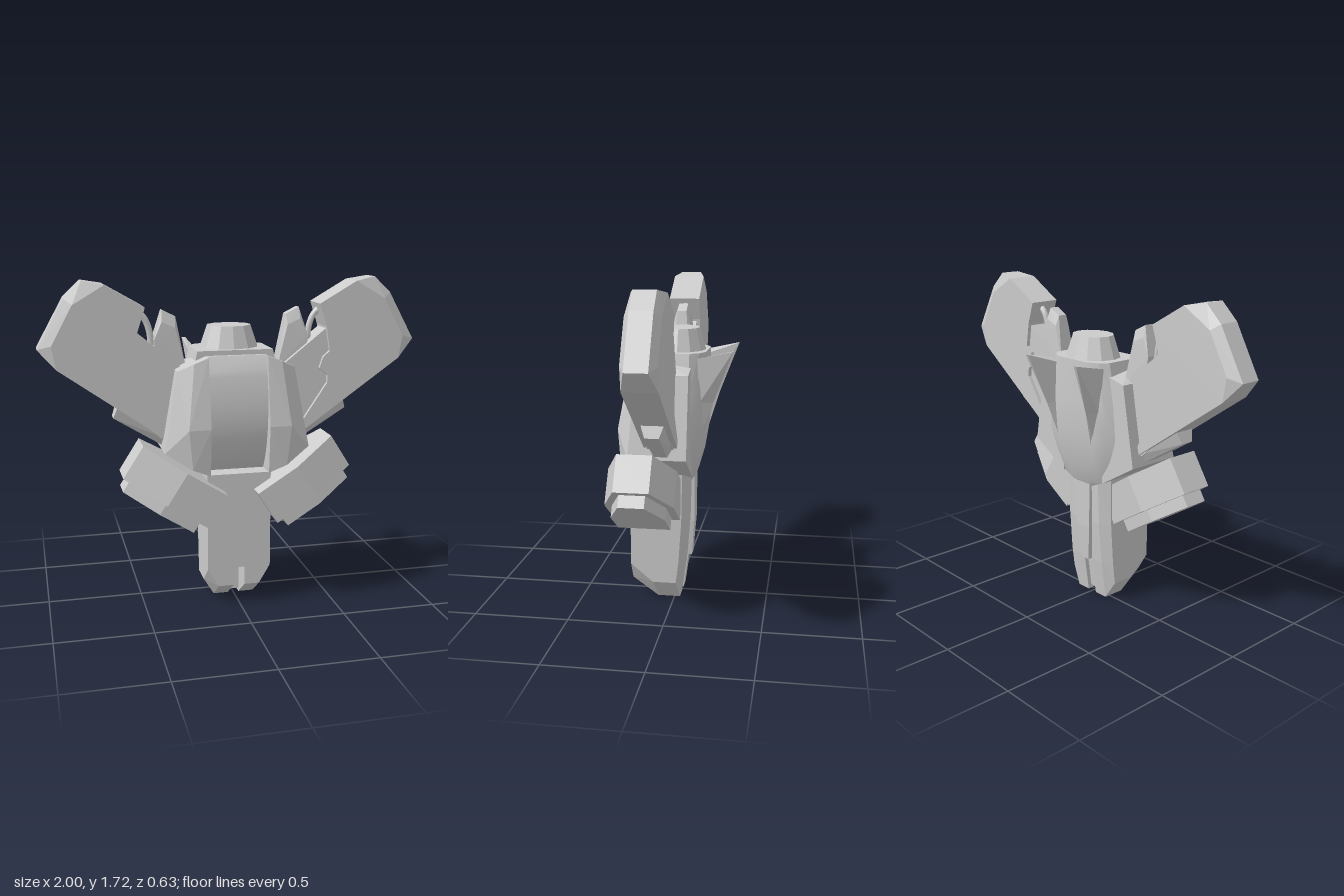
import * as THREE from 'three';
import { ConvexGeometry } from 'three/addons/geometries/ConvexGeometry.js';
import { toCreasedNormals } from 'three/addons/utils/BufferGeometryUtils.js';

const mat = new THREE.MeshStandardMaterial({ color: 0xcccccc });
const flat = new THREE.MeshStandardMaterial({ color: 0xcccccc, flatShading: true });

export function createModel() {
  const model = new THREE.Group();
  const add = (name, geo, material = flat) => {
    const mesh = new THREE.Mesh(geo, material);
    mesh.name = name;
    model.add(mesh);
    return mesh;
  };
  // Convex solid through [x, y, z] points; s mirrors x
  const hullGeo = (pts, s = 1) => new ConvexGeometry(pts.map(([x, y, z]) => new THREE.Vector3(x * s, y, z)));
  const hull = (name, pts, s) => add(name, hullGeo(pts, s));
  // Flat [x, y] outline extruded between two z values
  const plate = (name, pts, z0, z1, s) => {
    const shape = new THREE.Shape(pts.map(([x, y]) => new THREE.Vector2(x * s, y)));
    const geo = new THREE.ExtrudeGeometry(shape, { depth: z1 - z0, bevelEnabled: false });
    add(name, geo.translate(0, 0, z0));
  };
  // Points of a [z, y] profile placed at one x
  const at = (x, profile) => profile.map(([z, y]) => [x, y, z]);

  // Head: truncated elliptical cone
  const head = new THREE.CylinderGeometry(0.118, 0.158, 0.115, 12);
  add('head', head.scale(1, 1, 0.84).translate(0, 1.412, -0.02));

  // Torso with curved back shell: horizontal sections [y, half width, back z, front z]
  const torso = [];
  for (const [y, w, back, front] of [
    [1.355, 0.2, -0.165, 0.14], [1.15, 0.245, -0.167, 0.14], [0.95, 0.265, -0.16, 0.14],
    [0.8, 0.215, -0.137, 0.12], [0.7, 0.15, -0.11, 0.1], [0.66, 0.06, -0.098, 0.08]]) {
    for (const s of [-1, 1]) {
      torso.push([s * w, y, front], [s * w, y, -0.09], [s * w * 0.83, y, back + 0.028], [s * w * 0.55, y, back]);
    }
  }
  add('torsoShell', toCreasedNormals(hullGeo(torso), 0.45), mat);

  // Curved chest panel between the side hulls
  const chest = new THREE.Shape();
  chest.moveTo(0, 1.33);
  chest.lineTo(0.16, 1.33);
  chest.lineTo(0.2, 1.255);
  chest.bezierCurveTo(0.24, 1.08, 0.24, 0.88, 0.13, 0.72);
  chest.lineTo(0, 0.72);
  const chestGeo = new THREE.ExtrudeGeometry(chest, { depth: 0.32, bevelEnabled: false, curveSegments: 16 });
  chestGeo.rotateY(-Math.PI / 2).translate(0.16, 0, 0);
  // Profile x becomes +z after the quarter turn
  add('chestPanel', toCreasedNormals(chestGeo, 0.5), mat);

  // Lower body: centre web with a slot, and the spine strip behind
  const web = [[0.23, 0.72], [0.23, 0.2], [-0.05, 0.2], [-0.08, 0.72]];
  hull('lowerBodyCentre', [...at(-0.04, web), ...at(0.04, web)]);
  const slot = [[0.09, 0.25], [0.09, 0.02], [-0.01, 0.02], [-0.04, 0.25]];
  hull('slotCore', [...at(-0.03, slot), ...at(0.03, slot)]);
  const spine = [];
  for (const [w, y, z] of [[0.06, 0.68, -0.102], [0.052, 0.42, -0.1], [0.03, 0.22, -0.085]]) {
    for (const x of [-w, w]) spine.push([x, y, z], [x, y, -0.03]);
  }
  hull('spineStrip', spine);

  for (const s of [1, -1]) {
    const side = s > 0 ? 'left' : 'right';

    // Half of the lower body with chamfered outer edge
    const inner = [[0.23, 0.72], [0.23, 0.1], [0.09, 0], [-0.03, 0], [-0.06, 0.22], [-0.08, 0.45], [-0.088, 0.72]];
    const outer = [[0.23, 0.72], [0.23, 0.2], [0.11, 0.1], [-0.015, 0.1], [-0.03, 0.22], [-0.045, 0.45], [-0.05, 0.72]];
    hull(side + 'LowerBody', [...at(0.03, inner), ...at(0.11, inner), ...at(0.17, outer)], s);

    // Side hull beside the chest
    hull(side + 'SideHull', [
      [0.155, 1.33, 0.21], [0.155, 0.97, 0.27], [0.155, 0.72, 0.25],
      [0.23, 1.3, 0.21], [0.27, 0.97, 0.27], [0.25, 0.76, 0.26],
      [0.31, 1.26, 0.17], [0.385, 0.84, 0.2],
      [0.155, 1.33, 0.1], [0.155, 1.3, -0.1], [0.31, 1.26, -0.1], [0.385, 0.84, -0.1], [0.155, 0.7, -0.1]], s);

    // Wing: main plate with notched inner edge, chamfered cap and thinner root
    plate(side + 'WingPlate', [[0.66, 1.695], [0.46, 1.58], [0.5, 1.46], [0.52, 1.33], [0.485, 1.3], [0.465, 1.24],
      [0.51, 1.2], [0.51, 1.16], [0.37, 0.95], [0.38, 0.905], [0.91, 1.28]], -0.055, 0.115, s);
    const cap = [];
    for (const [x, y] of [[0.66, 1.695], [0.91, 1.28], [0.7, 1.65]]) cap.push([x, y, -0.055], [x, y, 0.115]);
    for (const [x, y] of [[0.82, 1.6], [0.93, 1.4]]) cap.push([x, y, -0.055], [x, y, 0.115]);
    for (const [x, y] of [[1, 1.38], [0.86, 1.63], [0.77, 1.715]]) cap.push([x, y, -0.025], [x, y, 0.085]);
    hull(side + 'WingCap', cap, s);
    plate(side + 'WingRoot', [[0.51, 1.455], [0.24, 1.24], [0.33, 0.88], [0.39, 0.9], [0.62, 1.12]], -0.035, 0.095, s);

    // Strut under the wing
    const strut = [];
    for (const [x, y, h] of [[0.605, 1.08, 0.06], [0.63, 1.01, 0.035], [0.37, 0.85, 0.035], [0.37, 0.9, 0.06], [0.35, 1, 0.06]]) {
      strut.push([x, y, 0.03 - h], [x, y, 0.03 + h]);
    }
    hull(side + 'WingStrut', strut, s);

    // Small shoulder fin and the pipe next to it
    const fin = [];
    for (const [x, y, h] of [[0.41, 1.41, 0.05], [0.365, 1.56, 0.025], [0.295, 1.525, 0.025], [0.245, 1.25, 0.05],
      [0.4, 1.25, 0.05], [0.37, 1.5, 0.045], [0.3, 1.47, 0.045]]) {
      fin.push([x, y, 0.02 - h], [x, y, 0.02 + h]);
    }
    hull(side + 'ShoulderFin', fin, s);
    const path = [[0.5, 1.56], [0.455, 1.52], [0.43, 1.46], [0.42, 1.38]].map(([x, y]) => new THREE.Vector3(x * s, y, 0.025));
    add(side + 'Pipe', new THREE.TubeGeometry(new THREE.CatmullRomCurve3(path), 12, 0.017, 8), mat);

    // Swept back fin in two sections
    const mid = [[0.155, 1.1, -0.21], [0.18, 1.1, -0.14], [0.13, 1.1, -0.14]];
    hull(side + 'BackFinUpper', [[0.14, 1.31, -0.13], [0.2, 1.33, -0.13], [0.18, 1.37, -0.312], [0.2, 1.37, -0.312], ...mid], s);
    hull(side + 'BackFinLower', [...mid, [0.13, 0.92, -0.155], [0.145, 0.92, -0.14]], s);

    // Hip pod: u runs inwards and down along its length, n across its thickness
    const pod = (u, n, z) => [0.605 - 0.845 * u - 0.537 * n, 0.73 - 0.533 * u + 0.844 * n, z];
    const podLayer = (name, n0, n1, inset) => {
      const pts = [];
      for (const n of [n0, n1]) {
        for (const [u, h] of [[inset, 0.09 - inset * 0.6], [0.25, 0.18 - inset], [0.497 - inset, 0.18 - inset]]) {
          pts.push(pod(u, n, 0.14 - h), pod(u, n, 0.14 + h));
        }
      }
      hull(name, pts, s);
    };
    podLayer(side + 'HipPod', 0, 0.196, 0);
    podLayer(side + 'HipPodBase', -0.065, 0.01, 0.04);
  }
  return model;
}
